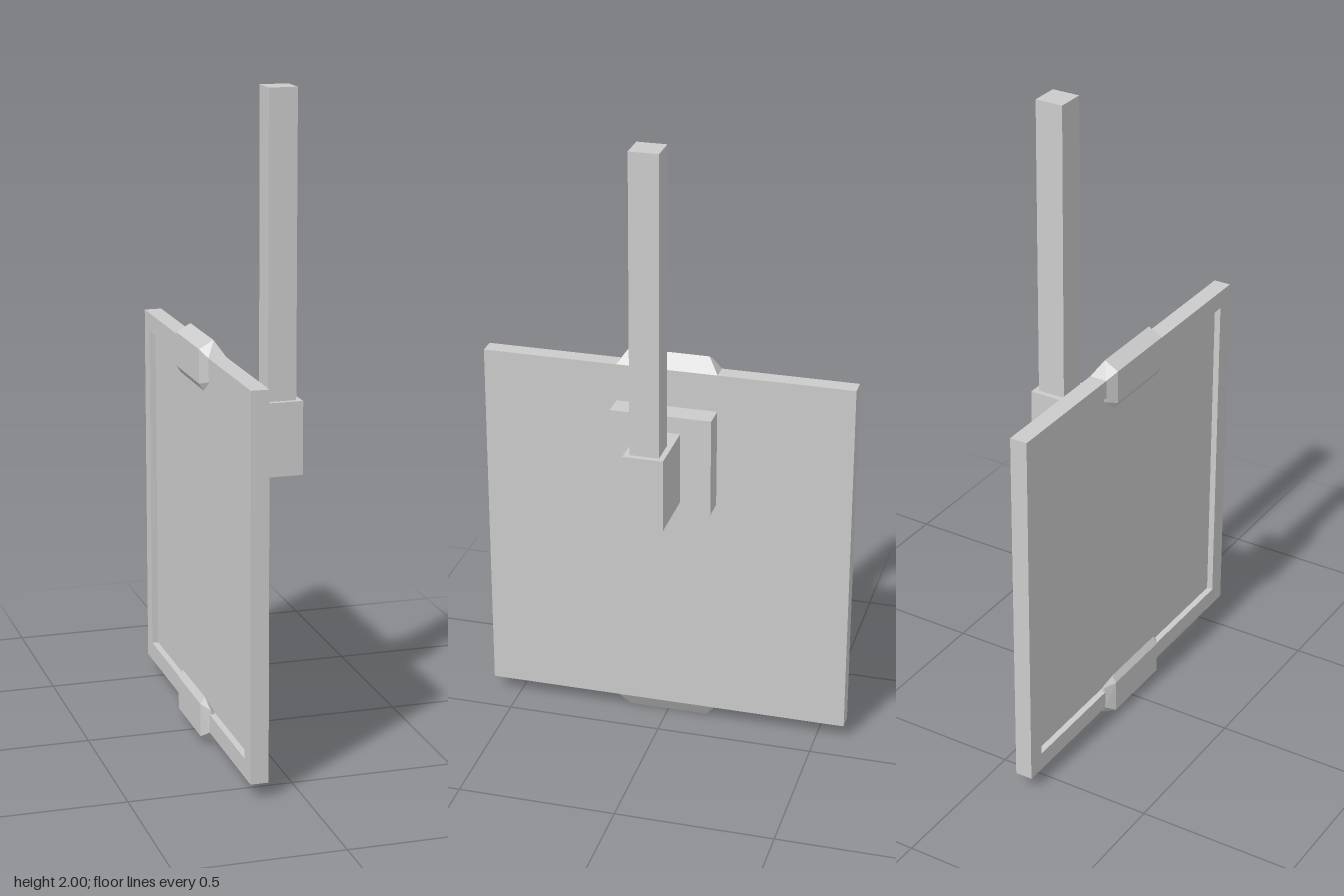
import * as THREE from 'three';
import { ConvexGeometry } from 'three/addons/geometries/ConvexGeometry.js';

export function createModel() {
  const group = new THREE.Group();
  const material = new THREE.MeshStandardMaterial({ color: 0xcccccc, flatShading: true });

  const add = (name, geometry) => {
    const mesh = new THREE.Mesh(geometry, material);
    mesh.name = name;
    group.add(mesh);
    return mesh;
  };
  // Box given by its x and y limits and half its z width
  const box = (name, x0, x1, y0, y1, halfZ) =>
    add(name, new THREE.BoxGeometry(x1 - x0, y1 - y0, halfZ * 2)
      .translate((x0 + x1) / 2, (y0 + y1) / 2, 0));

  // Sign panel: solid sheet with a raised rim on the -x face
  const midY = 0.635, half = 0.588, inner = 0.53, rimDepth = 0.02;
  box('panelSheet', -0.135, -0.1, midY - half, midY + half, half);
  const square = (path, s) =>
    path.moveTo(-s, -s).lineTo(s, -s).lineTo(s, s).lineTo(-s, s).closePath();
  const rim = square(new THREE.Shape(), half);
  rim.holes.push(square(new THREE.Path(), inner));
  add('panelRim', new THREE.ExtrudeGeometry(rim, { depth: rimDepth, bevelEnabled: false })
    .rotateY(-Math.PI / 2).translate(-0.135, midY, 0));

  // Bracket behind the panel and the hanging pole
  box('mountPlate', -0.1, -0.026, 0.784, 1.102, 0.16);
  box('mountBlock', -0.026, 0.172, 0.815, 1.048, 0.063);
  box('pole', 0.065, 0.155, 1.048, 2, 0.046);

  // Chamfered clips over the top and bottom edges; [x, height above centre, half width]
  const clipPoints = [
    [-0.1, 0.588, 0.16], [-0.155, 0.588, 0.16], [-0.152, 0.515, 0.16],
    [-0.13, 0.635, 0.127], [-0.175, 0.61, 0.127],
    [-0.175, 0.505, 0.127], [-0.161, 0.483, 0.127],
  ];
  for (const [name, side] of [['topClip', 1], ['bottomClip', -1]]) {
    const points = clipPoints.flatMap(([x, h, z]) =>
      [z, -z].map((w) => new THREE.Vector3(x, midY + side * h, w)));
    add(name, new ConvexGeometry(points));
  }

  return group;
}
